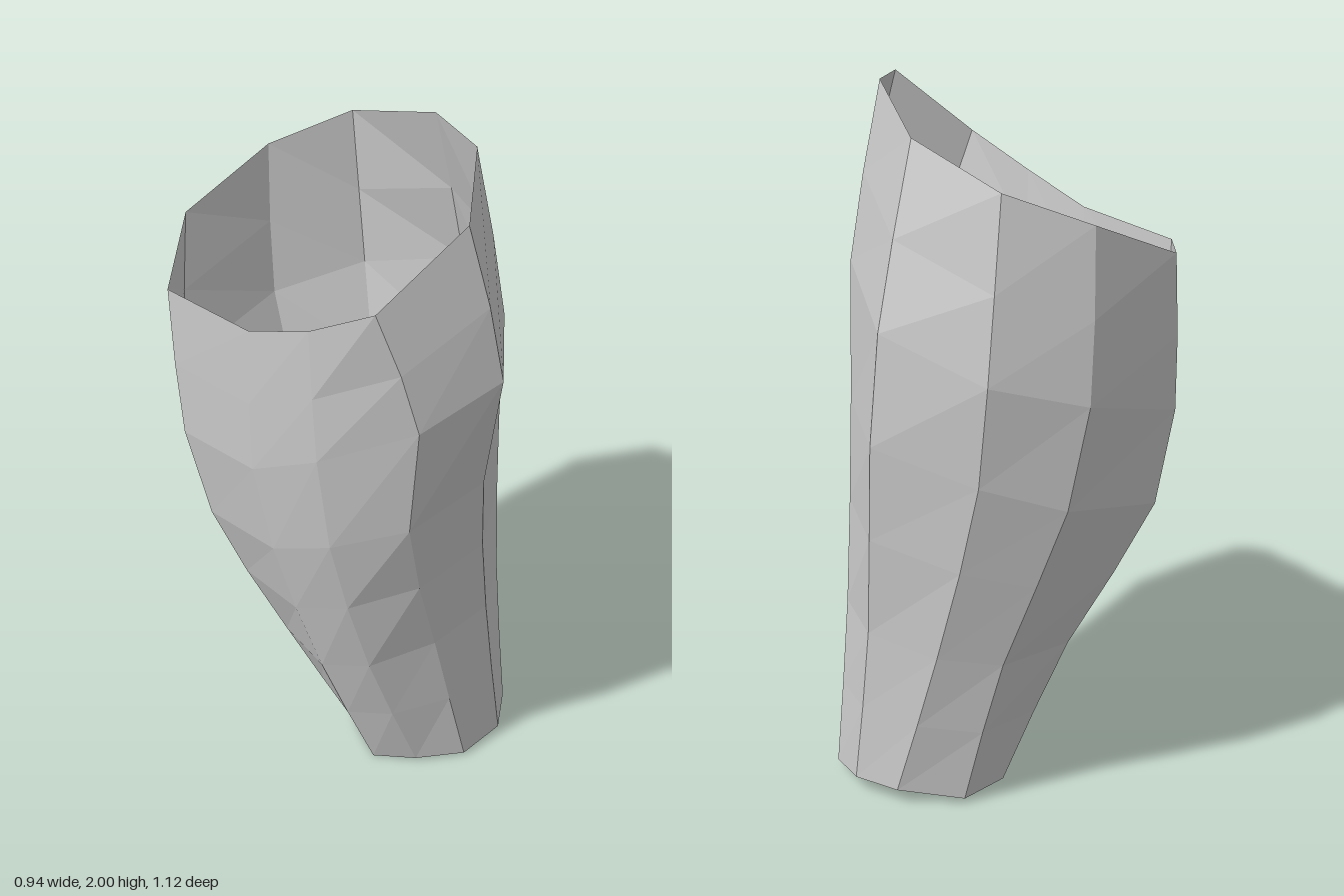
import * as THREE from 'three';

// Lengthwise seams running around the sleeve, each as five [x, y, z] points from cuff to rim.
const seams = [
  // right side
  [[-0.11, 0.0, 0.125], [-0.27, 0.42, 0.06], [-0.4, 0.88, 0.0], [-0.44, 1.15, -0.03], [-0.46, 1.59, -0.01]],
  [[-0.05, 0.01, 0.24], [-0.24, 0.47, 0.21], [-0.4, 0.97, 0.2], [-0.45, 1.27, 0.2], [-0.475, 1.67, 0.2]],
  // front
  [[0.06, 0.01, 0.34], [-0.09, 0.52, 0.33], [-0.3, 1.05, 0.39], [-0.345, 1.4, 0.45], [-0.45, 1.77, 0.39]],
  [[0.21, 0.025, 0.36], [0.11, 0.55, 0.365], [-0.05, 1.1, 0.45], [-0.14, 1.5, 0.56], [-0.24, 1.965, 0.51]],
  [[0.335, 0.035, 0.29], [0.3, 0.54, 0.27], [0.22, 1.12, 0.31], [0.15, 1.5, 0.36], [0.07, 2.0, 0.31]],
  // left side
  [[0.4, 0.045, 0.165], [0.41, 0.52, 0.1], [0.47, 1.1, 0.03], [0.465, 1.42, 0.0], [0.33, 1.915, -0.01]],
  [[0.39, 0.045, 0.02], [0.38, 0.49, -0.12], [0.4, 1.03, -0.28], [0.42, 1.32, -0.325], [0.37, 1.82, -0.33]],
  // back
  [[0.27, 0.015, -0.13], [0.25, 0.46, -0.25], [0.22, 0.95, -0.44], [0.21, 1.25, -0.5], [0.2, 1.73, -0.5]],
  [[0.1, 0.01, -0.14], [-0.02, 0.44, -0.28], [-0.13, 0.88, -0.49], [-0.14, 1.16, -0.54], [-0.09, 1.61, -0.56]],
  [[-0.03, 0.0, 0.0], [-0.2, 0.42, -0.13], [-0.34, 0.85, -0.28], [-0.38, 1.12, -0.33], [-0.385, 1.56, -0.36]],
];

// Where the horizontal rings cross each seam curve.
const ringSteps = [0, 0.125, 0.25, 0.375, 0.5, 0.75, 0.875, 1];

// Faceted open tube skinned across the seams.
function sleeveGeometry() {
  const rows = ringSteps.length;
  const positions = [];
  const indices = [];
  for (const seam of seams) {
    const curve = new THREE.CatmullRomCurve3(seam.map((p) => new THREE.Vector3(...p)));
    for (const t of ringSteps) positions.push(...curve.getPoint(t).toArray());
  }
  for (let i = 0; i < seams.length; i++) {
    const next = (i + 1) % seams.length;
    for (let j = 0; j < rows - 1; j++) {
      const a = i * rows + j;
      const b = next * rows + j;
      indices.push(a, b, b + 1, a, b + 1, a + 1);
    }
  }
  const geometry = new THREE.BufferGeometry();
  geometry.setAttribute('position', new THREE.Float32BufferAttribute(positions, 3));
  geometry.setIndex(indices);
  const faceted = geometry.toNonIndexed();
  faceted.computeVertexNormals();
  return faceted;
}

export function createModel() {
  const group = new THREE.Group();
  group.name = 'taperedSleeve';

  // Thin shell, open at the cuff and at the slanted rim
  const material = new THREE.MeshStandardMaterial({
    color: 0xcccccc,
    flatShading: true,
    side: THREE.DoubleSide,
  });
  const sleeve = new THREE.Mesh(sleeveGeometry(), material);
  sleeve.name = 'sleeveShell';
  group.add(sleeve);
  return group;
}
